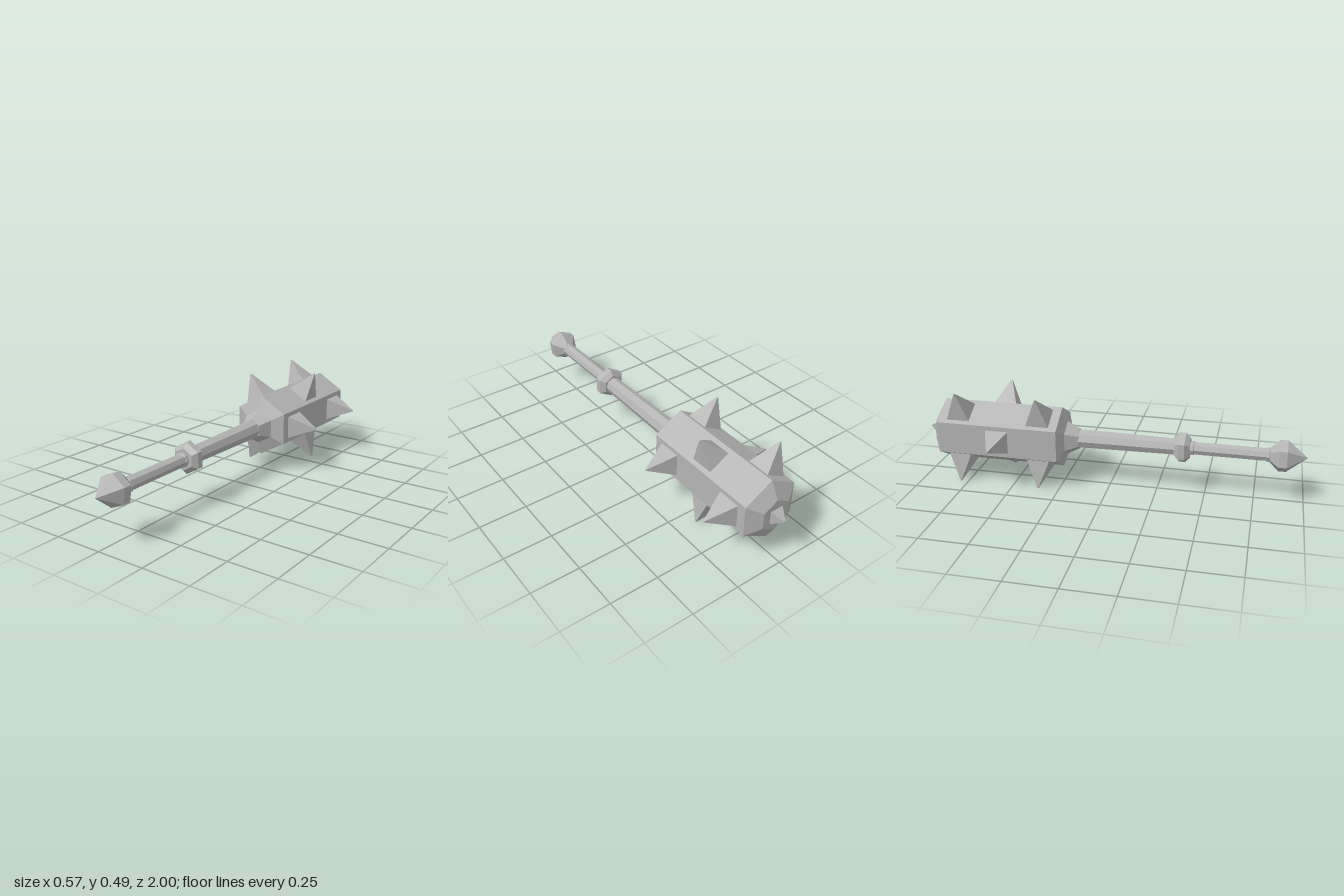
import * as THREE from 'three';

const AXIS_Y = 0.248;

// Faceted solid turned around the z axis; profile is [radius, z] with rising z
function turned(name, profile, sides, material, twist = 0) {
  const points = profile.map(([r, z]) => new THREE.Vector2(r, z));
  const geometry = new THREE.LatheGeometry(points, sides)
    .rotateX(Math.PI / 2).rotateZ(twist).toNonIndexed();
  geometry.computeVertexNormals();
  const mesh = new THREE.Mesh(geometry, material);
  mesh.name = name;
  return mesh;
}

// Four-sided spike pointing along +y from the origin, sunk a little into its base
function spikeGeometry(halfWidth, height) {
  const geometry = new THREE.CylinderGeometry(0.004, halfWidth * Math.SQRT2, height, 4)
    .rotateY(Math.PI / 4).translate(0, height / 2, 0).toNonIndexed();
  geometry.computeVertexNormals();
  return geometry;
}

export function createModel() {
  const model = new THREE.Group();
  model.name = 'spikedMace';
  const steel = new THREE.MeshStandardMaterial({ color: 0xb4b4b4, flatShading: true });
  steel.name = 'steel grey';

  const body = new THREE.Group();
  body.name = 'mace';
  body.position.y = AXIS_Y;
  model.add(body);

  // Hexagonal head with stepped neck and bevelled end
  body.add(turned('head', [
    [0, -0.943], [0.085, -0.943], [0.166, -0.897],
    [0.166, -0.255], [0.092, -0.228], [0.056, -0.162], [0, -0.162],
  ], 6, steel));

  // Shaft, grip and the thin bands that end the grip
  body.add(turned('shaft', [[0.051, -0.17], [0.049, 0], [0.044, 0.345]], 8, steel));
  body.add(turned('grip', [[0.034, 0.4], [0.034, 0.83]], 8, steel));
  for (const z of [0.428, 0.806]) {
    body.add(turned('gripBand', [
      [0.033, z - 0.011], [0.038, z - 0.006], [0.038, z + 0.006], [0.033, z + 0.011],
    ], 8, steel));
  }

  // Hexagonal guard ring and pointed pommel
  body.add(turned('guardRing', [
    [0, 0.338], [0.056, 0.338], [0.082, 0.362],
    [0.082, 0.393], [0.056, 0.416], [0, 0.416],
  ], 6, steel));
  body.add(turned('pommel', [
    [0, 0.815], [0.038, 0.815], [0.082, 0.86], [0.082, 0.899], [0, 1],
  ], 6, steel, -0.12));

  // Side spikes: faces alternate between two spikes and one
  const sideSpike = spikeGeometry(0.06, 0.14);
  for (let face = 0; face < 6; face++) {
    const angle = face * Math.PI / 3;
    for (const z of face % 2 ? [-0.575] : [-0.36, -0.79]) {
      const spike = new THREE.Mesh(sideSpike, steel);
      spike.name = 'sideSpike';
      spike.position.set(Math.cos(angle) * 0.143, Math.sin(angle) * 0.143, z);
      spike.rotation.z = angle - Math.PI / 2;
      body.add(spike);
    }
  }

  // Small spike on the end of the head
  const endSpike = new THREE.Mesh(spikeGeometry(0.037, 0.06), steel);
  endSpike.name = 'endSpike';
  endSpike.position.z = -0.94;
  endSpike.rotation.x = -Math.PI / 2;
  body.add(endSpike);

  return model;
}
